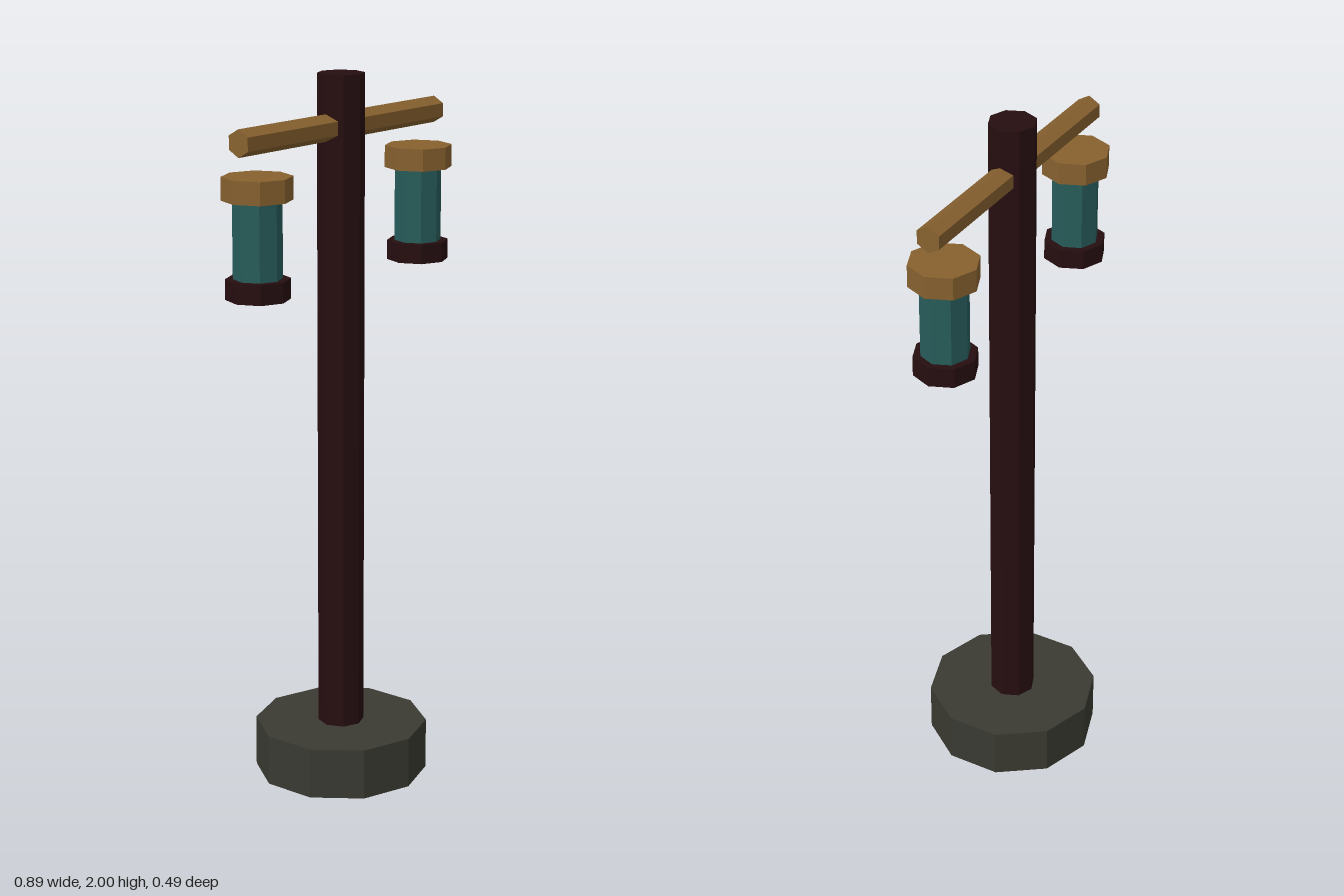
import * as THREE from 'three';

const material = (name, color) => {
  const m = new THREE.MeshStandardMaterial({ color, flatShading: true });
  m.name = name;
  return m;
};

export function createModel() {
  const stone = material('dark stone', 0x3a3a32);
  const darkWood = material('dark wood', 0x260e10);
  const wood = material('brown wood', 0x87612f);
  const glass = material('teal glass', 0x275c5a);

  const model = new THREE.Group();
  model.name = 'lampPost';

  // Faceted upright cylinder spanning y0 to y1
  const prism = (parent, name, mat, radius, sides, y0, y1) => {
    const mesh = new THREE.Mesh(new THREE.CylinderGeometry(radius, radius, y1 - y0, sides), mat);
    mesh.name = name;
    mesh.position.y = (y0 + y1) / 2;
    parent.add(mesh);
    return mesh;
  };

  // Foot and post
  prism(model, 'base', stone, 0.245, 10, 0, 0.145);
  prism(model, 'post', darkWood, 0.065, 8, 0.1, 2);

  // Hexagonal crossbar with a ridge along its top
  const bar = new THREE.CylinderGeometry(0.037, 0.037, 0.84, 6);
  bar.rotateY(Math.PI / 2).rotateZ(Math.PI / 2);
  const crossbar = new THREE.Mesh(bar, wood);
  crossbar.name = 'crossbar';
  crossbar.position.y = 1.858;
  model.add(crossbar);

  // A lantern below each end of the crossbar
  for (const [name, side] of [['leftLantern', 1], ['rightLantern', -1]]) {
    const lantern = new THREE.Group();
    lantern.name = name;
    lantern.position.x = side * 0.348;
    prism(lantern, 'lanternCap', wood, 0.095, 8, 1.703, 1.765);
    prism(lantern, 'lanternGlass', glass, 0.066, 8, 1.49, 1.71);
    prism(lantern, 'lanternBottom', darkWood, 0.087, 8, 1.44, 1.495);
    model.add(lantern);
  }
  return model;
}
